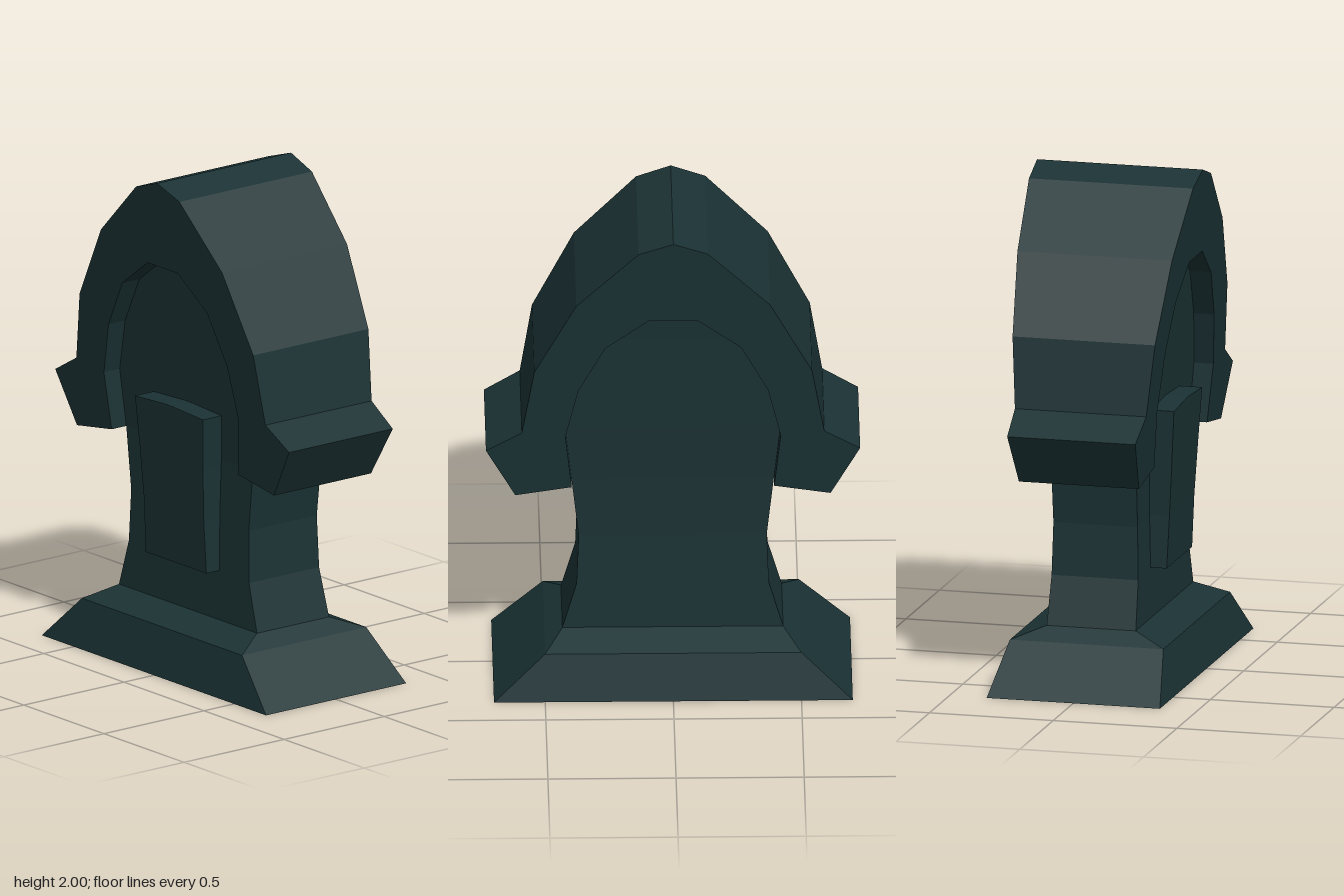
import * as THREE from 'three';

const stone = new THREE.MeshStandardMaterial({ color: 0x1b3234, flatShading: true });

// Stacks rectangular sections [y, half width, back z, front z] into a closed solid
function loft(name, rows) {
  const pos = [], idx = [];
  for (const [y, w, zb, zf] of rows) pos.push(-w, y, zf, w, y, zf, w, y, zb, -w, y, zb);
  const quad = (a, b, c, d) => idx.push(a, b, c, a, c, d);
  for (let r = 0; r < rows.length - 1; r++) {
    for (let i = 0; i < 4; i++) {
      const a = r * 4 + i, b = r * 4 + (i + 1) % 4;
      quad(a, b, b + 4, a + 4);
    }
  }
  const t = (rows.length - 1) * 4;
  quad(3, 2, 1, 0);
  quad(t, t + 1, t + 2, t + 3);
  const geo = new THREE.BufferGeometry();
  geo.setAttribute('position', new THREE.Float32BufferAttribute(pos, 3));
  geo.setIndex(idx);
  const flat = geo.toNonIndexed();
  flat.computeVertexNormals();
  const mesh = new THREE.Mesh(flat, stone);
  mesh.name = name;
  return mesh;
}

// Arched hood with flared feet, growing deeper towards its peak
function buildHood() {
  const half = [
    [0.135, 1.955], [0.378, 1.72], [0.542, 1.417], [0.59, 1.14], [0.73, 1.06], [0.615, 0.855],
    [0.395, 0.89], [0.42, 1.12], [0.37, 1.33], [0.265, 1.525], [0.095, 1.65],
  ];
  const outline = [[0, 2], ...half, ...half.map(([x, y]) => [-x, y]).reverse()];
  const shape = new THREE.Shape(outline.map(([x, y]) => new THREE.Vector2(x, y)));
  const geo = new THREE.ExtrudeGeometry(shape, { depth: 1, bevelEnabled: false });
  const p = geo.attributes.position;
  for (let i = 0; i < p.count; i++) {
    const depth = 0.335 - (2 - p.getY(i)) * 0.081;
    p.setZ(i, p.getZ(i) > 0.5 ? depth : -depth);
  }
  geo.computeVertexNormals();
  const mesh = new THREE.Mesh(geo, stone);
  mesh.name = 'archedHood';
  return mesh;
}

export function createModel() {
  const group = new THREE.Group();
  group.name = 'gravestone';

  // Sloping plinth
  group.add(loft('base', [
    [0, 0.7, -0.35, 0.35], [0.19, 0.5, -0.31, 0.31], [0.24, 0.43, -0.18, 0.18],
  ]));

  // Waisted slab, recessed inside the hood
  const slab = [
    [0.235, 0.432, 0.18], [0.43, 0.375, 0.175], [0.64, 0.367, 0.17], [0.89, 0.395, 0.172],
    [1.12, 0.42, 0.185], [1.33, 0.37, 0.198], [1.525, 0.265, 0.211], [1.65, 0.095, 0.22],
  ];
  group.add(loft('slab', slab.map(([y, w, d]) => [y, w, -d, d])));

  // Raised panel on the front only
  group.add(loft('frontPanel', [
    [0.438, 0.19, 0.1, 0.24], [0.65, 0.186, 0.1, 0.25],
    [0.87, 0.197, 0.1, 0.263], [1.075, 0.212, 0.1, 0.275], [1.085, 0.02, 0.1, 0.275],
  ]));

  group.add(buildHood());
  return group;
}
